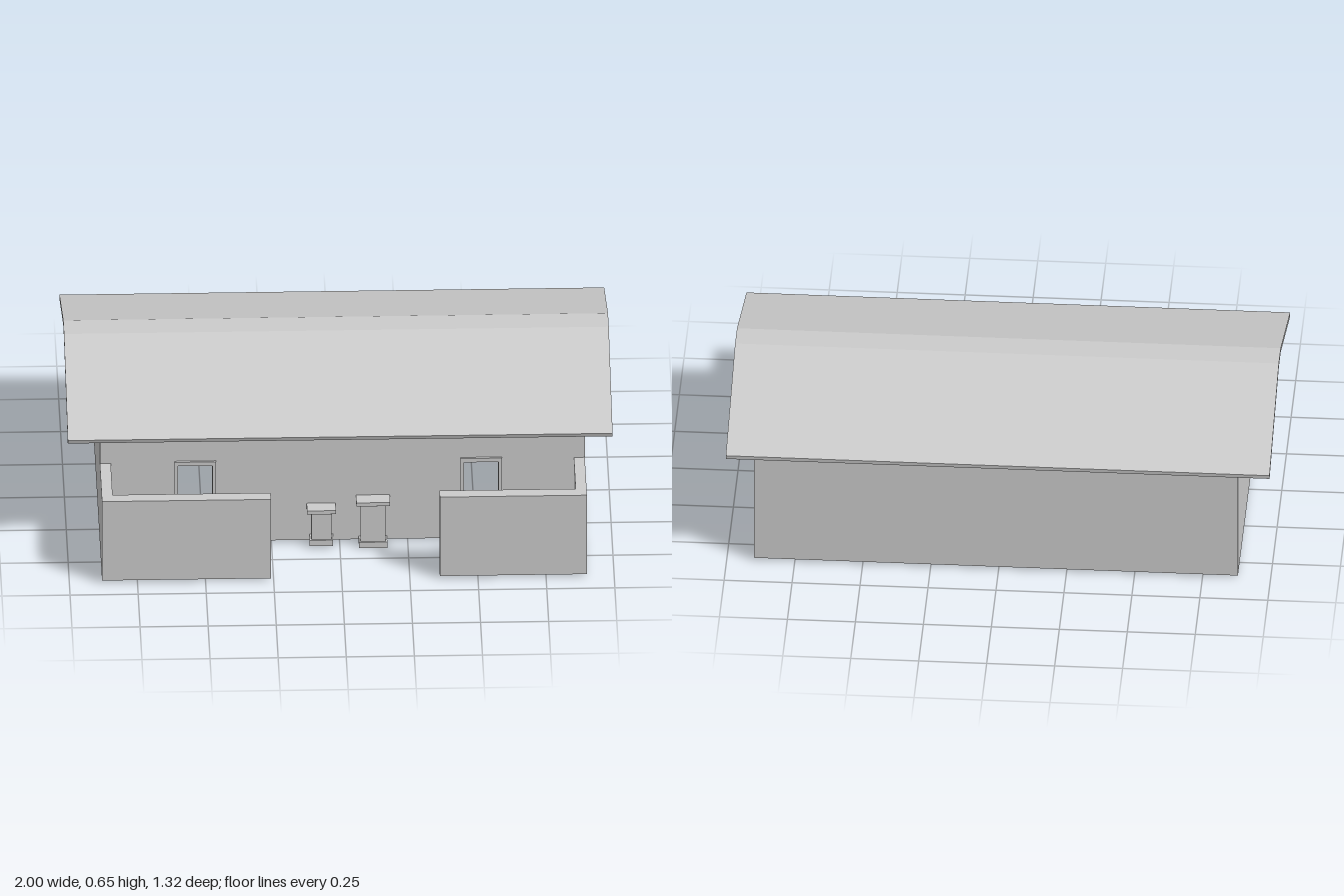
import * as THREE from 'three';

const material = new THREE.MeshStandardMaterial({ color: 0xcccccc, flatShading: true });

function add(parent, name, geometry) {
  const mesh = new THREE.Mesh(geometry, material);
  mesh.name = name;
  parent.add(mesh);
  return mesh;
}

// Box given by its limits on each axis
function box(parent, name, [x0, x1], [y0, y1], [z0, z1]) {
  const mesh = add(parent, name, new THREE.BoxGeometry(x1 - x0, y1 - y0, z1 - z0));
  mesh.position.set((x0 + x1) / 2, (y0 + y1) / 2, (z0 + z1) / 2);
  return mesh;
}

// Side profile of [z, y] points, extruded from x0 to x1
function profile(parent, name, points, x0, x1) {
  const shape = new THREE.Shape(points.map(([z, y]) => new THREE.Vector2(-z, y)));
  const geometry = new THREE.ExtrudeGeometry(shape, { depth: x1 - x0, bevelEnabled: false });
  geometry.rotateY(Math.PI / 2).translate(x0, 0, 0);
  return add(parent, name, geometry);
}

const LEFT = 0.9, RIGHT = -0.88, FRONT = 0.37, BACK = -0.605;
const FLOOR = 0.01, EAVE = 0.446, YARD_TOP = 0.34, YARD_FRONT = 0.66, THICK = 0.04;
const DOORS = [-0.53, 0.52], DOOR_HALF = 0.063, DOOR_TOP = 0.33;

// Front wall outline, notched by the two doorways
function frontWall(parent) {
  const shape = new THREE.Shape();
  shape.moveTo(RIGHT + THICK, FLOOR);
  for (const x of DOORS) {
    shape.lineTo(x - DOOR_HALF, FLOOR);
    shape.lineTo(x - DOOR_HALF, DOOR_TOP);
    shape.lineTo(x + DOOR_HALF, DOOR_TOP);
    shape.lineTo(x + DOOR_HALF, FLOOR);
  }
  shape.lineTo(LEFT - THICK, FLOOR);
  shape.lineTo(LEFT - THICK, EAVE);
  shape.lineTo(RIGHT + THICK, EAVE);
  const geometry = new THREE.ExtrudeGeometry(shape, { depth: THICK, bevelEnabled: false });
  add(parent, 'frontWall', geometry.translate(0, 0, FRONT - THICK));
}

// Raised trim around a doorway
function doorFrame(parent, x) {
  const frame = new THREE.Group();
  frame.name = 'doorFrame';
  const outer = DOOR_HALF + 0.013, z = [FRONT - 0.005, FRONT + 0.009];
  for (const s of [-1, 1]) {
    const edges = [x + s * DOOR_HALF, x + s * outer].sort((a, b) => a - b);
    box(frame, 'doorJamb', edges, [FLOOR, DOOR_TOP], z);
  }
  box(frame, 'doorLintel', [x - outer, x + outer], [DOOR_TOP, DOOR_TOP + 0.016], z);
  parent.add(frame);
}

// Small pedestal with a flared foot and an overhanging cap
function pedestal(parent, x, y0, height, half, depth) {
  const group = new THREE.Group();
  group.name = 'pedestal';
  const zc = 0.393, top = y0 + height;
  const slab = (name, a, b, grow) =>
    box(group, name, [x - half - grow, x + half + grow], [a, b],
      [zc - depth / 2 - grow, zc + depth / 2 + grow]);
  slab('pedestalFoot', y0, y0 + 0.024, 0.006);
  slab('pedestalShaft', y0 + 0.024, top - 0.02, 0);
  slab('pedestalNeck', top - 0.02, top - 0.015, 0.007);
  slab('pedestalCap', top - 0.015, top, 0.016);
  parent.add(group);
}

export function createModel() {
  const house = new THREE.Group();
  house.name = 'house';

  // Side walls step down and run on as the yard walls
  const side = [[BACK, FLOOR], [YARD_FRONT, FLOOR], [YARD_FRONT, YARD_TOP],
    [FRONT, YARD_TOP], [FRONT, EAVE], [BACK, EAVE]];
  profile(house, 'rightWall', side, RIGHT, RIGHT + THICK);
  profile(house, 'leftWall', side, LEFT - THICK, LEFT);
  box(house, 'backWall', [RIGHT + THICK, LEFT - THICK], [FLOOR, EAVE], [BACK, BACK + THICK]);
  frontWall(house);
  DOORS.forEach((x) => doorFrame(house, x));

  // Low front walls of the two yards
  const yardDepth = [YARD_FRONT - 0.05, YARD_FRONT];
  box(house, 'rightYardWall', [RIGHT + THICK, -0.26], [FLOOR, YARD_TOP], yardDepth);
  box(house, 'leftYardWall', [0.36, LEFT - THICK], [FLOOR, YARD_TOP], yardDepth);

  // Pedestals between the yards
  pedestal(house, -0.068, 0.01, 0.153, 0.037, 0.04);
  pedestal(house, 0.122, 0, 0.195, 0.046, 0.044);

  // Closed attic with gable ends
  profile(house, 'attic', [[-0.615, EAVE], [0.4, EAVE], [0.4, 0.487], [-0.055, 0.638],
    [-0.155, 0.638], [-0.615, 0.486]], -0.87, 0.91);

  // Roof shell with a flat ridge
  profile(house, 'roof', [[0.45, 0.47], [0.455, 0.485], [-0.053, 0.653], [-0.157, 0.653],
    [-0.66, 0.485], [-0.658, 0.47], [-0.155, 0.638], [-0.055, 0.638]], -1, 1);

  return house;
}
